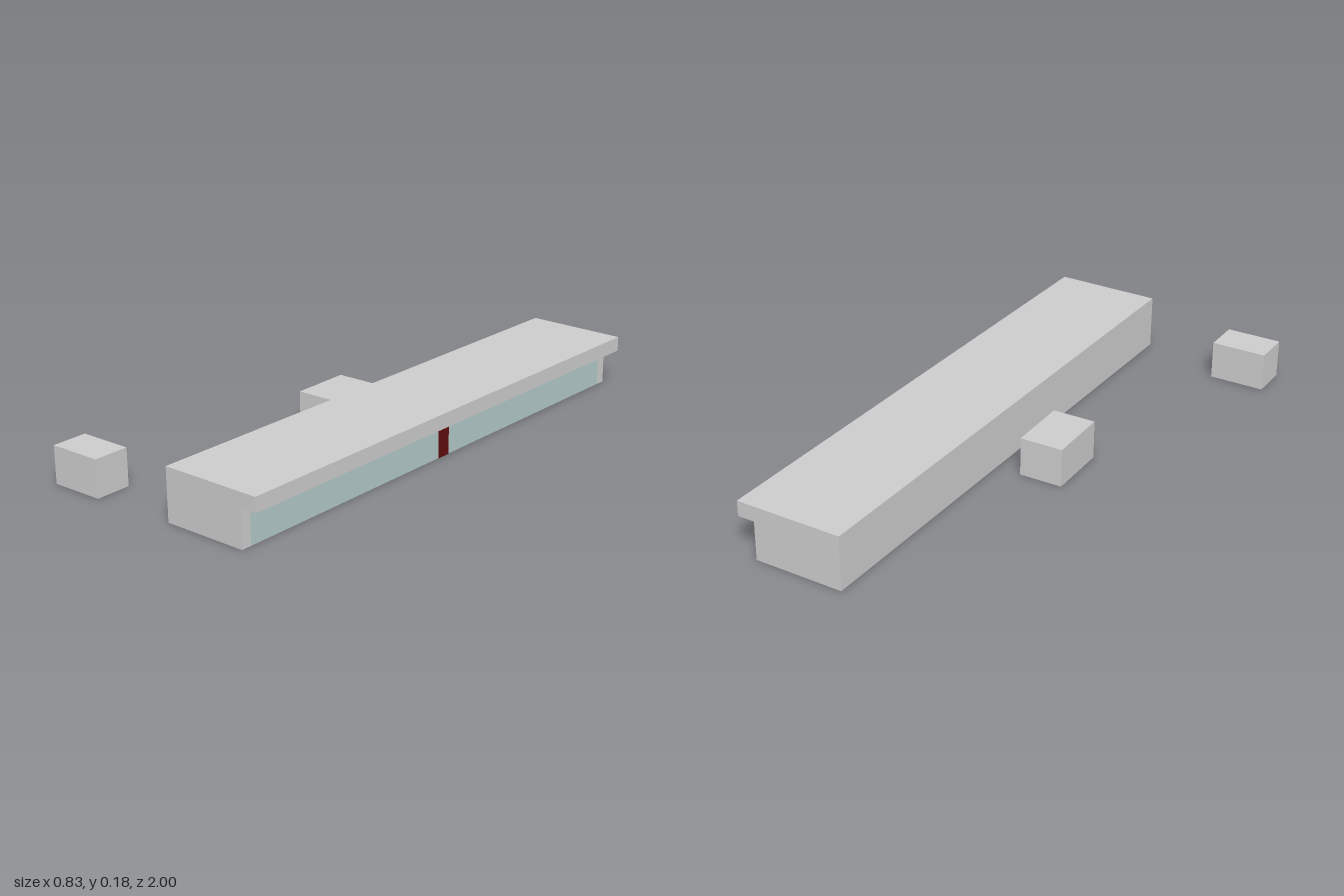
import * as THREE from 'three';

const WALL_H = 0.127, ROOF_T = 0.05;

const material = (color = 0xcccccc) =>
  new THREE.MeshStandardMaterial({ color, flatShading: true, side: THREE.DoubleSide });
const grey = material();
const glass = material(0xb2c8c8);
const red = material(0x600d0d);

function add(parent, name, geometry, mat, x, y, z, turn = 0) {
  const mesh = new THREE.Mesh(geometry, mat);
  mesh.name = name;
  mesh.position.set(x, y, z);
  mesh.rotation.y = turn;
  parent.add(mesh);
  return mesh;
}

// Thin upright panel standing on the ground
function panel(parent, name, width, height, mat, x, z, turn) {
  return add(parent, name, new THREE.PlaneGeometry(width, height), mat, x, height / 2, z, turn);
}

// Two end walls and the -x wall, open underneath
function threeWalls(parent, w, d, x = 0) {
  panel(parent, 'frontWall', w, WALL_H, grey, x, d / 2, 0);
  panel(parent, 'backWall', w, WALL_H, grey, x, -d / 2, Math.PI);
  panel(parent, 'rightWall', d, WALL_H, grey, x - w / 2, 0, -Math.PI / 2);
}

// Small hut: four walls and a flat top, hollow below
function hut(name, w, d, x, z, degrees) {
  const group = new THREE.Group();
  group.name = name;
  threeWalls(group, w, d);
  panel(group, 'leftWall', d, WALL_H, grey, w / 2, 0, Math.PI / 2);
  const top = add(group, 'hutRoof', new THREE.PlaneGeometry(w, d), grey, 0, WALL_H, 0);
  top.rotation.x = -Math.PI / 2;
  group.position.set(x, 0, z);
  group.rotation.y = THREE.MathUtils.degToRad(degrees);
  return group;
}

// Long hall with a roof slab overhanging its glazed side
function longHall() {
  const hall = new THREE.Group();
  hall.name = 'longHall';
  const roofW = 0.353, length = 1.835, overhang = 0.057, jamb = 0.037;
  const bodyW = roofW - overhang, side = roofW / 2 - overhang;

  add(hall, 'roofSlab', new THREE.BoxGeometry(roofW, ROOF_T, length), grey, 0, WALL_H + ROOF_T / 2, 0);
  threeWalls(hall, bodyW, length, -overhang / 2);

  // Glazed side: glass between two narrow jambs, door in the middle
  for (const s of [-1, 1])
    panel(hall, 'jamb', jamb, WALL_H, grey, side, s * (length - jamb) / 2, Math.PI / 2);
  panel(hall, 'glazing', length - 2 * jamb, WALL_H, glass, side, 0, Math.PI / 2);
  add(hall, 'door', new THREE.BoxGeometry(0.004, 0.1, 0.05), red, side, 0.05, 0.003);

  hall.position.set(0.011, 0, -0.0675);
  hall.rotation.y = THREE.MathUtils.degToRad(14.65);
  return hall;
}

export function createModel() {
  const model = new THREE.Group();
  model.name = 'building';
  model.add(
    longHall(),
    hut('middleHut', 0.143, 0.21, -0.31, 0.013, 16),
    hut('frontHut', 0.185, 0.125, -0.311, 0.914, 15.3)
  );
  return model;
}
